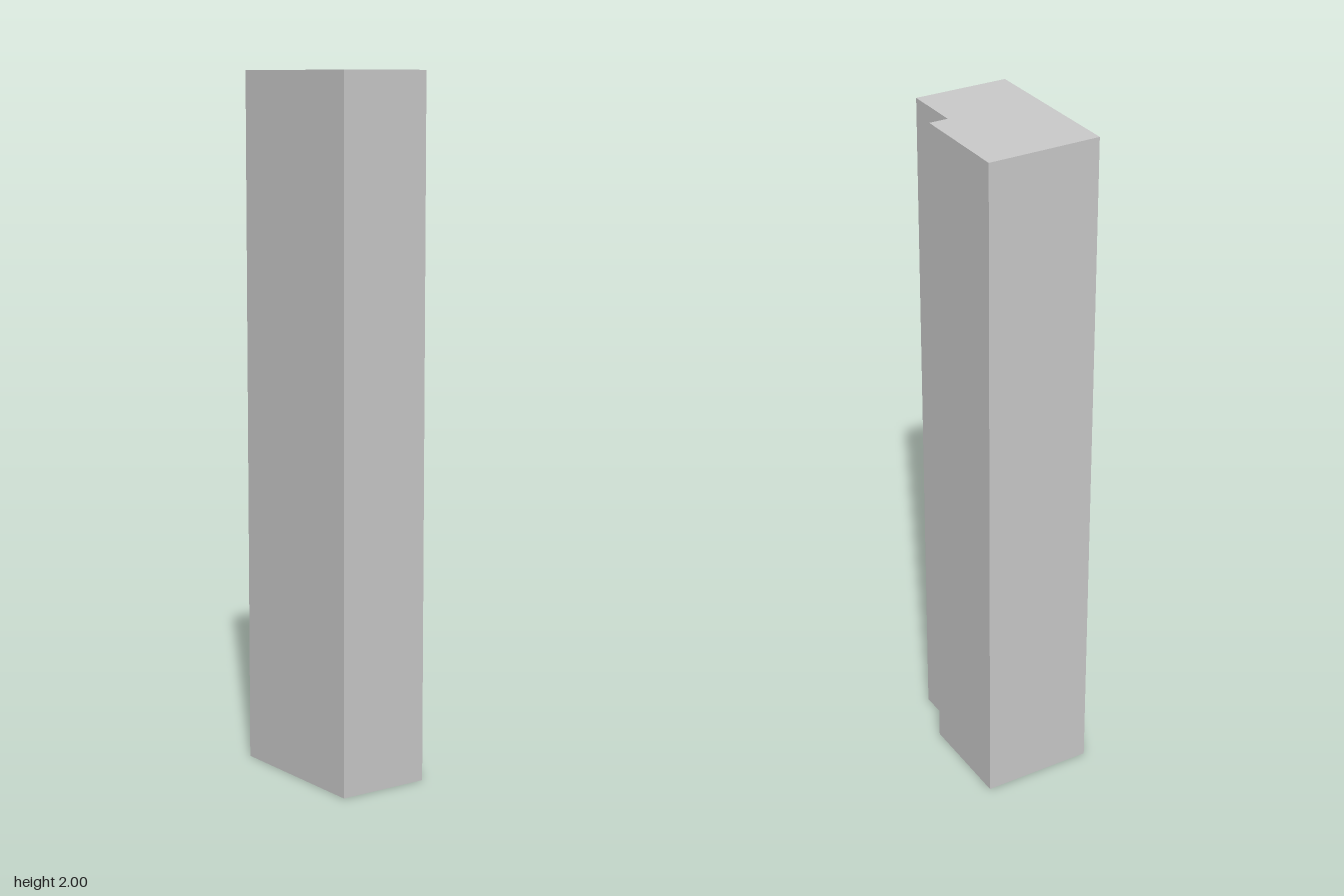
import * as THREE from 'three';

export function createModel() {
  const group = new THREE.Group();
  group.name = 'tower';

  // Slightly turned footprint with a notched front corner, as [x, z]
  const footprint = [
    [-0.157, -0.243], [0.172, -0.231], [0.161, 0.073],
    [0.106, 0.071], [0.1, 0.241], [-0.174, 0.23],
  ];
  const shape = new THREE.Shape(footprint.map(([x, z]) => new THREE.Vector2(x, -z)));

  // Raise the footprint to full height
  const geometry = new THREE.ExtrudeGeometry(shape, { depth: 2, bevelEnabled: false });
  geometry.rotateX(-Math.PI / 2);

  const block = new THREE.Mesh(
    geometry,
    new THREE.MeshStandardMaterial({ color: 0xcccccc, flatShading: true })
  );
  block.name = 'towerBlock';
  group.add(block);
  return group;
}
